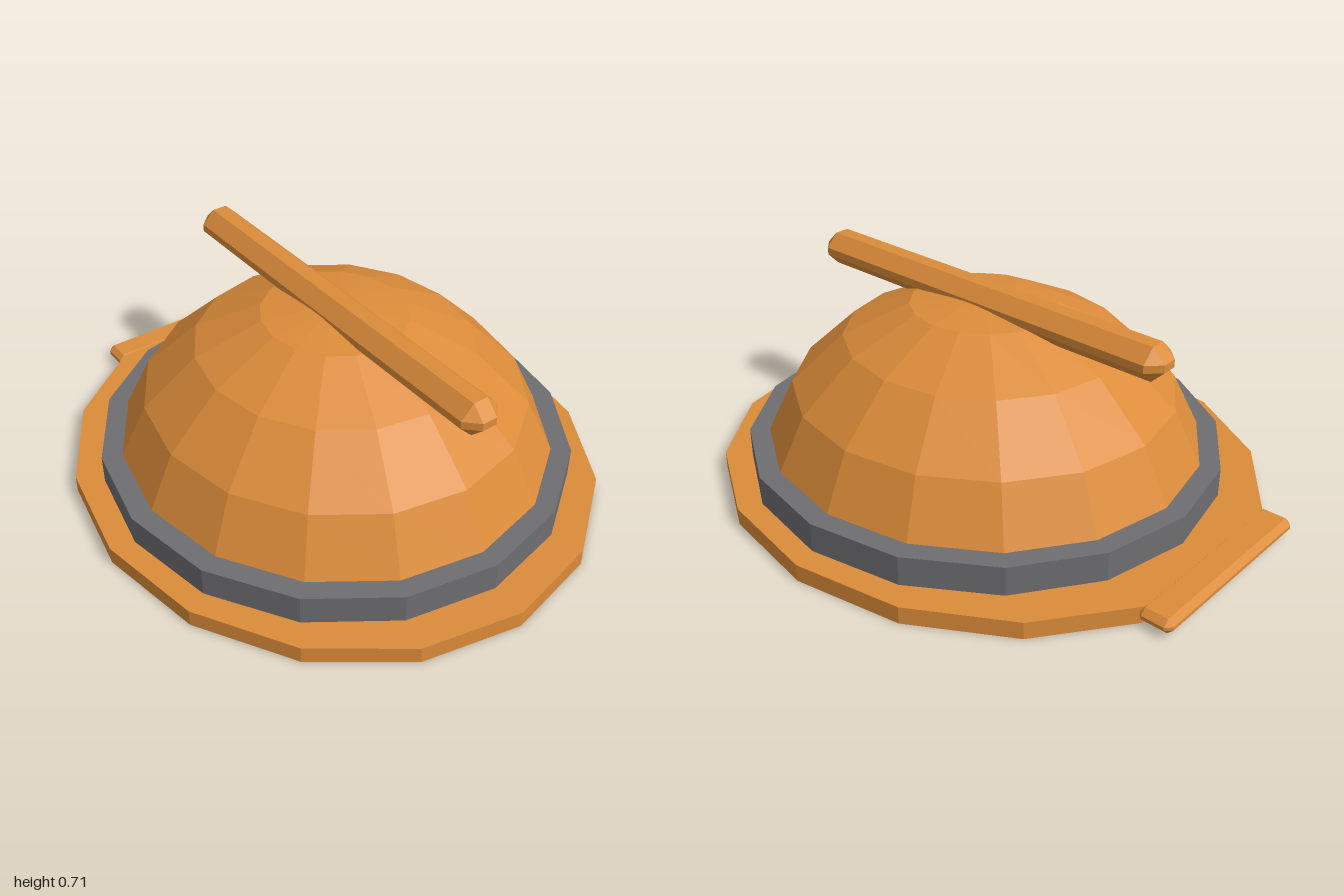
import * as THREE from 'three';
import { ConvexGeometry } from 'three/addons/geometries/ConvexGeometry.js';

const SIDES = 16;

// Box with every edge and corner cut at 45 degrees
function chamferBox(hx, hy, hz, c) {
  const pts = [];
  for (const x of [-1, 1]) for (const y of [-1, 1]) for (const z of [-1, 1]) {
    pts.push(
      new THREE.Vector3(x * hx, y * (hy - c), z * (hz - c)),
      new THREE.Vector3(x * (hx - c), y * hy, z * (hz - c)),
      new THREE.Vector3(x * (hx - c), y * (hy - c), z * hz)
    );
  }
  return new ConvexGeometry(pts);
}

export function createModel() {
  const group = new THREE.Group();
  const shell = new THREE.MeshStandardMaterial({ color: 0xdc8c3a, flatShading: true });
  shell.name = 'orange shell';
  const grey = new THREE.MeshStandardMaterial({ color: 0x6e6e71, flatShading: true });
  grey.name = 'grey band';

  const add = (name, geometry, material, x, y, z) => {
    const mesh = new THREE.Mesh(geometry, material);
    mesh.name = name;
    mesh.position.set(x, y, z);
    group.add(mesh);
    return mesh;
  };

  // Oval brim, closed underneath
  const brim = new THREE.CylinderGeometry(0.88, 0.88, 0.06, SIDES);
  add('brim', brim, shell, 0, 0.03, 0.015).scale.z = 0.98 / 0.88;

  // Band between brim and dome
  const band = new THREE.CylinderGeometry(0.8, 0.8, 0.11, SIDES);
  add('band', band, grey, 0, 0.107, 0.034).scale.z = 0.838 / 0.8;

  // Faceted dome, profile from rim to crown
  const profile = [[0.735, 0.15], [0.64, 0.35], [0.462, 0.525], [0.242, 0.636], [0, 0.666]]
    .map(([r, y]) => new THREE.Vector2(r, y));
  const dome = new THREE.LatheGeometry(profile, SIDES);
  add('dome', dome, shell, 0, 0, 0.035).scale.z = 0.77 / 0.73;

  // Long ridge over the crown
  add('topRidge', chamferBox(0.071, 0.058, 0.74, 0.045), shell, 0, 0.652, 0.036);

  // Tab at the back of the brim
  add('backTab', chamferBox(0.355, 0.026, 0.06, 0.02), shell, 0, 0.035, -0.937);

  return group;
}
